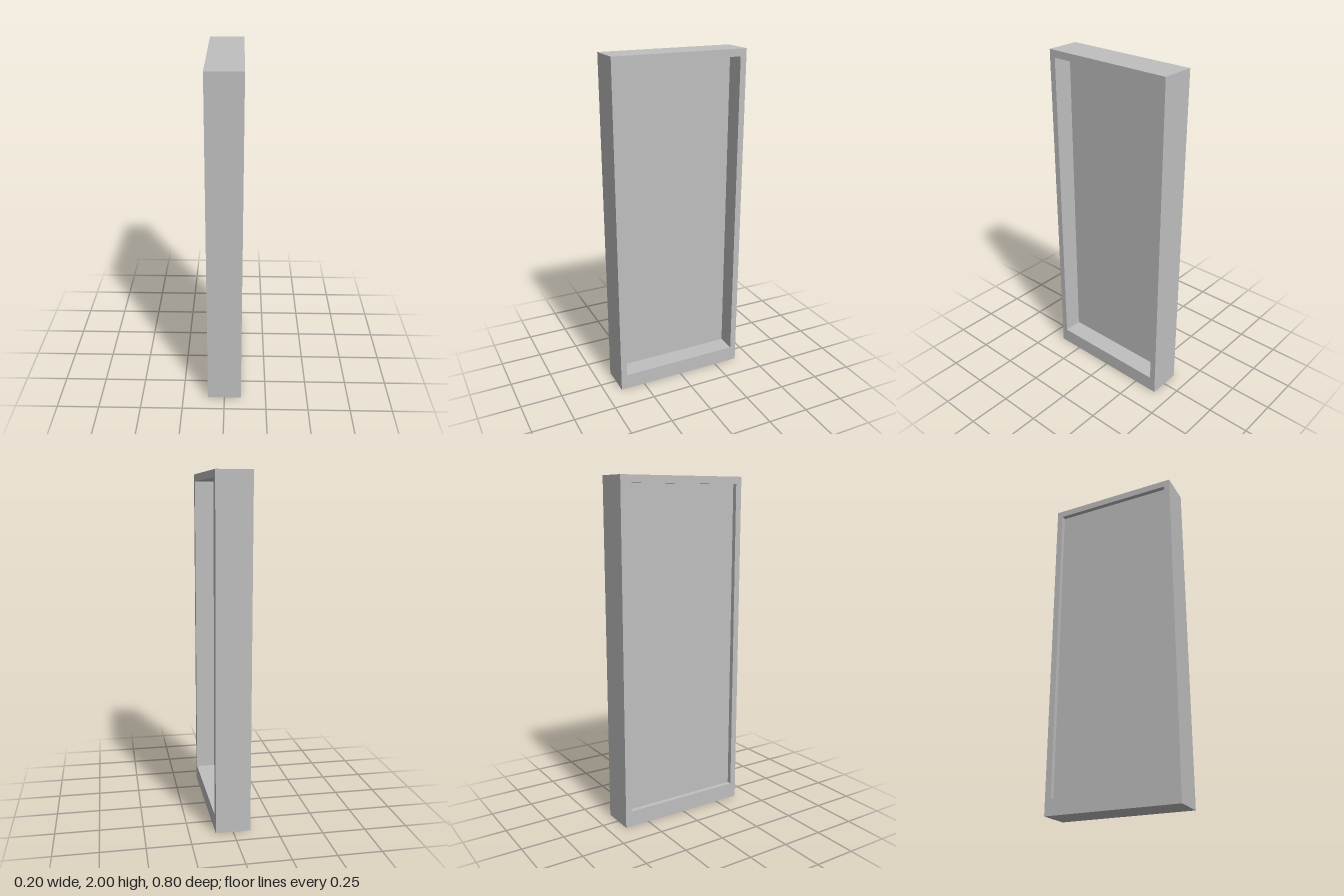
import * as THREE from 'three';

const DEPTH = 0.2, HALF_WIDTH = 0.4, HEIGHT = 2;
const OPENING = { halfWidth: 0.363, bottom: 0.094, top: 1.958 };
const PANEL = { back: -0.072, front: -0.016 };

// Closed rectangle, symmetric about the vertical axis
function rectangle(PathType, halfWidth, bottom, top) {
  return new PathType([
    new THREE.Vector2(-halfWidth, bottom),
    new THREE.Vector2(halfWidth, bottom),
    new THREE.Vector2(halfWidth, top),
    new THREE.Vector2(-halfWidth, top),
  ]);
}

export function createModel() {
  const group = new THREE.Group();
  group.name = 'framedPanel';

  const grey = new THREE.MeshStandardMaterial({ color: 0xbfbfbf });
  grey.name = 'lightGrey';

  // Outer frame with a taller bottom rail, facing along x
  const outline = rectangle(THREE.Shape, HALF_WIDTH, 0, HEIGHT);
  outline.holes.push(rectangle(THREE.Path, OPENING.halfWidth, OPENING.bottom, OPENING.top));
  const frameGeometry = new THREE.ExtrudeGeometry(outline, { depth: DEPTH, bevelEnabled: false });
  frameGeometry.translate(0, 0, -DEPTH / 2).rotateY(Math.PI / 2);
  const frame = new THREE.Mesh(frameGeometry, grey);
  frame.name = 'frame';
  group.add(frame);

  // Pane filling the opening, set deeper on the +x side
  const pane = new THREE.Mesh(
    new THREE.BoxGeometry(
      PANEL.front - PANEL.back,
      OPENING.top - OPENING.bottom,
      OPENING.halfWidth * 2
    ),
    grey
  );
  pane.position.set((PANEL.front + PANEL.back) / 2, (OPENING.top + OPENING.bottom) / 2, 0);
  pane.name = 'pane';
  group.add(pane);

  return group;
}
